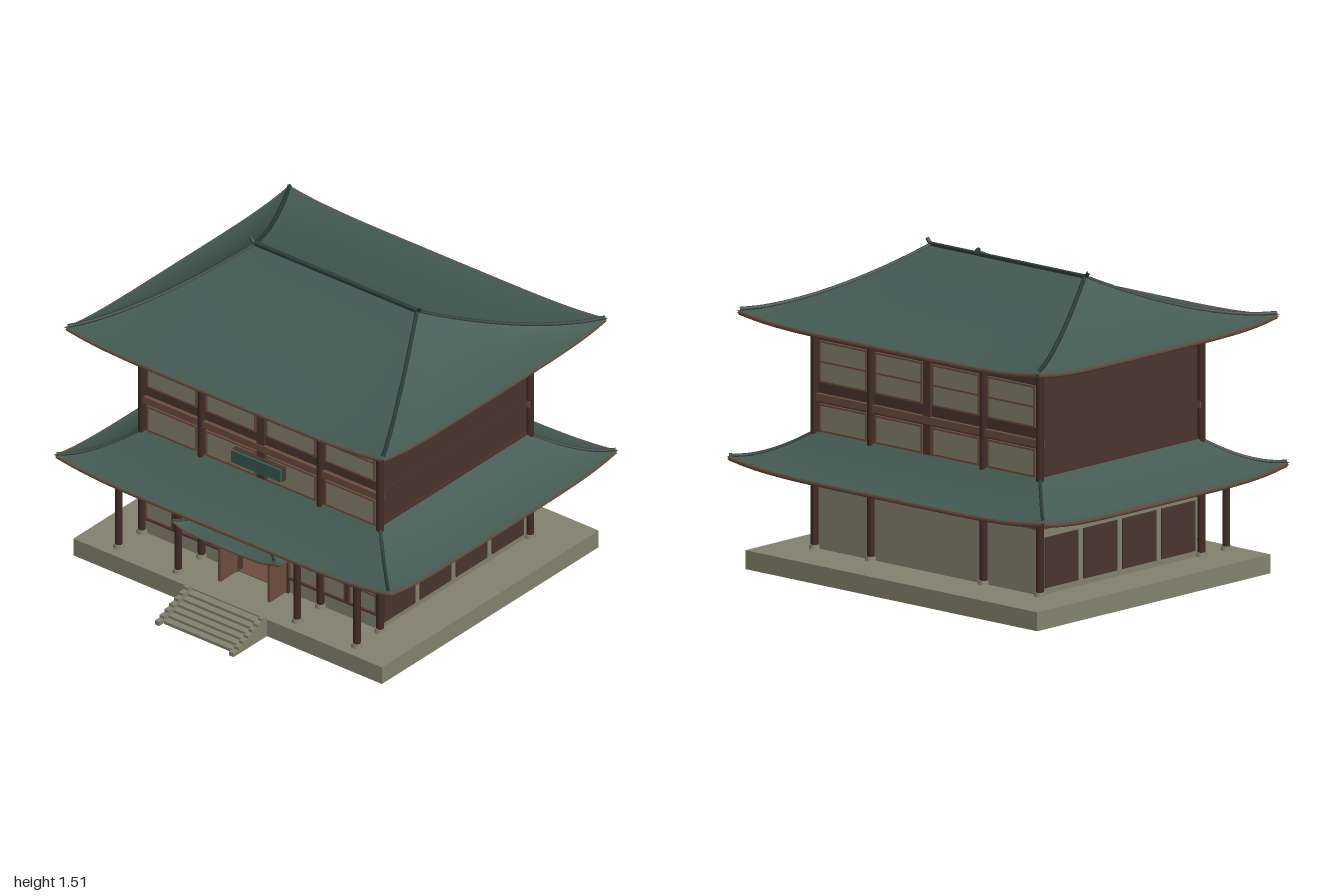
import * as THREE from 'three';

const mat = (name, color, side = THREE.FrontSide) => {
  const m = new THREE.MeshStandardMaterial({ color, side });
  m.name = name;
  return m;
};

export function createModel() {
  const stone = mat('pale stone', 0x84836f);
  const tile = mat('green roof tile', 0x435a53, THREE.DoubleSide);
  const ridgeMat = mat('dark ridge tile', 0x2b3c38);
  const dark = mat('dark timber', 0x4a352d);
  const post = mat('column timber', 0x402c25);
  const trim = mat('light timber', 0x6c4e3f);
  const sign = mat('sign green', 0x385852);

  const model = new THREE.Group();
  model.name = 'temple';
  // everything is symmetrical about the hall centre, which lies behind the origin
  const hall = new THREE.Group();
  hall.name = 'hall';
  hall.position.z = -0.1;
  model.add(hall);

  const add = (parent, name, geo, material) => {
    const m = new THREE.Mesh(geo, material);
    m.name = name;
    parent.add(m);
    return m;
  };
  // box given by its limits
  const box = (parent, name, material, x0, x1, y0, y1, z0, z1) => {
    const m = add(parent, name, new THREE.BoxGeometry(x1 - x0, y1 - y0, z1 - z0), material);
    m.position.set((x0 + x1) / 2, (y0 + y1) / 2, (z0 + z1) / 2);
    return m;
  };
  const tube = (parent, name, material, pts, r, sides = 6) =>
    add(parent, name, new THREE.TubeGeometry(new THREE.CatmullRomCurve3(pts), 24, r, sides), material);
  const V = (x, y, z) => new THREE.Vector3(x, y, z);

  // curved hipped roof: eave half sizes hx, hz; top half sizes ix, iz
  function roof(name, hx, hz, ix, iz, y0, y1, lift, rim, hipR) {
    const g = new THREE.Group();
    g.name = name;
    const N = 24, M = 12;
    const height = (u, t) =>
      y0 + (y1 - y0) * Math.pow(t, 1.55) + lift * Math.pow(Math.abs(u), 5) * Math.pow(1 - t, 2);
    for (let s = 0; s < 4; s++) {
      const [w, d, wi, di] = s % 2 ? [hz, hx, iz, ix] : [hx, hz, ix, iz];
      const at = (u, t, dy = 0, inset = 0) => V(
        u * (THREE.MathUtils.lerp(w, wi, t) - inset), height(u, t) + dy,
        THREE.MathUtils.lerp(d, di, t) - inset);
      const pos = [], idx = [];
      for (let j = 0; j <= M; j++) for (let i = 0; i <= N; i++) {
        pos.push(...at((i / N) * 2 - 1, j / M).toArray());
        if (i < N && j < M) {
          const a = j * (N + 1) + i, b = a + N + 1;
          idx.push(a, a + 1, b + 1, a, b + 1, b);
        }
      }
      const geo = new THREE.BufferGeometry();
      geo.setAttribute('position', new THREE.Float32BufferAttribute(pos, 3));
      geo.setIndex(idx);
      geo.computeVertexNormals();
      const side = new THREE.Group();
      side.name = name + 'Side';
      side.rotation.y = s * Math.PI / 2;
      g.add(side);
      add(side, 'roofSlope', geo, tile);
      // eave board and hip ridge
      const eave = [], hip = [];
      for (let i = 0; i <= 16; i++) eave.push(at(i / 8 - 1, 0, -rim * 0.75, rim * 0.8));
      for (let i = 0; i <= 10; i++) hip.push(at(1, i / 10, hipR * 0.5, hipR));
      tube(side, 'eaveBoard', trim, eave, rim, 4);
      tube(side, 'hipRidge', ridgeMat, hip, hipR);
    }
    return g;
  }

  // stone platform and stairs
  box(hall, 'platform', stone, -0.92, 0.92, 0, 0.09, -0.795, 0.795);
  for (let i = 0; i < 7; i++) {
    const z0 = 0.695 + i * 0.035;
    if (i < 6) box(model, 'step', stone, -0.205, 0.205, 0, 0.083 - i * 0.0135, z0, z0 + 0.04);
    for (const s of [-1, 1]) {
      const x = s * 0.222;
      box(model, 'stairCurb', stone, x - 0.013, x + 0.013, 0, 0.108 - i * 0.0145, z0, z0 + 0.035);
    }
  }

  // ground floor walls around an open doorway
  for (const s of [-1, 1]) {
    const wall = (n, m, a, b, ...r) => box(hall, n, m, Math.min(s * a, s * b), Math.max(s * a, s * b), ...r);
    wall('frontWall', stone, 0.15, 0.70, 0.09, 0.405, 0.51, 0.54);
    wall('sideWall', stone, 0.67, 0.70, 0.09, 0.405, -0.54, 0.54);
    wall('sideBeam', trim, 0.69, 0.715, 0.405, 0.435, -0.55, 0.55);
    for (let i = 0; i < 4; i++) {
      const z = 0.4 - i * 0.265;
      wall('sidePanel', dark, 0.698, 0.706, 0.12, 0.36, z - 0.114, z + 0.114);
    }
    wall('doorLeaf', trim, 0.14, 0.155, 0.095, 0.36, 0.55, 0.675);
    wall('doorPost', dark, 0.14, 0.165, 0.09, 0.4, 0.51, 0.552);
  }
  box(hall, 'backWall', stone, -0.70, 0.70, 0.09, 0.405, -0.54, -0.51);
  box(hall, 'innerFloor', trim, -0.67, 0.67, 0.088, 0.094, -0.51, 0.54);
  box(hall, 'upperBand', dark, -0.705, 0.705, 0.40, 0.66, -0.545, 0.545);
  box(hall, 'doorLintel', dark, -0.16, 0.16, 0.365, 0.41, 0.51, 0.55);

  // hanging and round ornament seen through the doorway
  box(hall, 'innerHanging', sign, -0.10, 0.10, 0.235, 0.36, -0.508, -0.5);
  const ring = add(hall, 'roundOrnament', new THREE.TorusGeometry(0.048, 0.006, 6, 24), trim);
  ring.position.set(0, 0.295, -0.49);
  const boss = add(hall, 'ornamentBoss', new THREE.SphereGeometry(0.025, 12, 8), trim);
  boss.scale.set(1, 0.5, 0.4);
  boss.position.set(0, 0.305, -0.49);

  // upper storey, its top trimmed to fit under the roof slopes
  const prof = new THREE.Shape([[-0.54, 0.64], [0.54, 0.64], [0.54, 1.235], [0.42, 1.275], [-0.42, 1.275], [-0.54, 1.235]]
    .map(p => new THREE.Vector2(...p)));
  const upper = new THREE.ExtrudeGeometry(prof, { depth: 1.4, bevelEnabled: false });
  upper.translate(0, 0, -0.7);
  upper.rotateY(Math.PI / 2);
  add(hall, 'upperWalls', upper, dark);
  for (const s of [-1, 1]) box(hall, 'sideSeam', dark, s * 0.701 - 0.003, s * 0.701 + 0.003, 0.825, 0.832, -0.54, 0.54);

  // a framed window on the front face
  function windowAt(parent, x0, x1, y0, y1, bar) {
    const g = new THREE.Group();
    g.name = 'window';
    parent.add(g);
    const f = 0.009, z = 0.54;
    box(g, 'pane', stone, x0, x1, y0, y1, z, z + 0.006);
    for (const x of [x0, x1]) box(g, 'frameUpright', trim, x - f / 2, x + f / 2, y0, y1, z, z + 0.014);
    const rails = bar ? [y0, (y0 + y1) / 2, y1] : [y0, y1];
    for (const y of rails) box(g, 'frameRail', trim, x0 - f / 2, x1 + f / 2, y - f / 2, y + f / 2, z, z + 0.014);
  }
  function column(parent, x, z, y1) {
    const h = y1 - 0.09;
    add(parent, 'column', new THREE.CylinderGeometry(0.018, 0.018, h, 16), post).position.set(x, 0.09 + h / 2, z);
    add(parent, 'columnBase', new THREE.CylinderGeometry(0.023, 0.027, 0.02, 16), stone).position.set(x, 0.1, z);
  }

  // columns, beams and windows shared by front and back
  const bays = [-0.71, -0.355, 0.355, 0.71];
  for (const turn of [0, Math.PI]) {
    const face = new THREE.Group();
    face.name = turn ? 'backFace' : 'frontFace';
    face.rotation.y = turn;
    hall.add(face);
    for (const x of bays) column(face, x, 0.55, 1.13);
    box(face, 'middleBeam', trim, -0.72, 0.72, 0.797, 0.832, 0.53, 0.56);
    box(face, 'lowerBeam', trim, -0.72, 0.72, 0.405, 0.435, 0.53, 0.56);
    box(face, 'centrePost', dark, -0.022, 0.022, 0.65, 1.13, 0.53, 0.556);
    for (const [a, b] of [[-0.675, -0.385], [-0.325, -0.035], [0.035, 0.325], [0.385, 0.675]]) {
      windowAt(face, a, b, 0.89, 1.08, true);
      windowAt(face, a, b, 0.655, 0.78, false);
    }
  }

  // ground floor front windows
  for (const s of [-1, 1]) {
    const g = new THREE.Group();
    g.name = 'frontWindows';
    hall.add(g);
    for (const [a, b] of [[0.17, 0.335], [0.375, 0.5], [0.53, 0.685]])
      windowAt(g, Math.min(s * a, s * b), Math.max(s * a, s * b), 0.18, 0.365, true);
    box(g, 'windowPost', dark, s * 0.515 - 0.011, s * 0.515 + 0.011, 0.18, 0.37, 0.54, 0.556);
    const c = s * 0.4275;
    box(g, 'windowHead', dark, c - 0.2725, c + 0.2725, 0.37, 0.405, 0.53, 0.552);
    box(g, 'windowSill', dark, c - 0.2725, c + 0.2725, 0.165, 0.177, 0.53, 0.552);
  }

  // front porch columns and beams
  for (const x of bays) {
    column(hall, x, 0.72, 0.5);
    box(hall, 'porchTie', dark, x - 0.012, x + 0.012, 0.44, 0.465, 0.55, 0.72);
  }
  box(hall, 'porchBeam', trim, -0.75, 0.75, 0.44, 0.465, 0.705, 0.735);

  // signboard between the storeys and board under the porch roof
  box(hall, 'signboard', sign, -0.147, 0.147, 0.70, 0.763, 0.572, 0.59);
  box(hall, 'signFrame', dark, -0.15, 0.15, 0.697, 0.766, 0.55, 0.575);
  box(hall, 'porchBoard', sign, -0.155, 0.155, 0.335, 0.39, 0.735, 0.748);

  // roofs
  hall.add(roof('lowerRoof', 1.0, 0.84, 0.71, 0.55, 0.498, 0.65, 0.035, 0.013, 0.009));
  hall.add(roof('upperRoof', 0.95, 0.825, 0.49, 0.004, 1.2, 1.475, 0.032, 0.013, 0.01));
  const porchRoof = roof('porchRoof', 0.31, 0.14, 0.16, 0.004, 0.405, 0.485, 0.03, 0.008, 0.006);
  porchRoof.position.z = 0.69;
  hall.add(porchRoof);
  box(hall, 'porchRidge', ridgeMat, -0.17, 0.17, 0.48, 0.495, 0.683, 0.697);

  // main ridge with upturned ends
  box(hall, 'mainRidge', ridgeMat, -0.49, 0.49, 1.462, 1.486, -0.011, 0.011);
  for (const s of [-1, 1])
    tube(hall, 'ridgeHorn', ridgeMat, [V(s * 0.47, 1.473, 0), V(s * 0.49, 1.481, 0), V(s * 0.51, 1.503, 0)], 0.009);

  return model;
}
